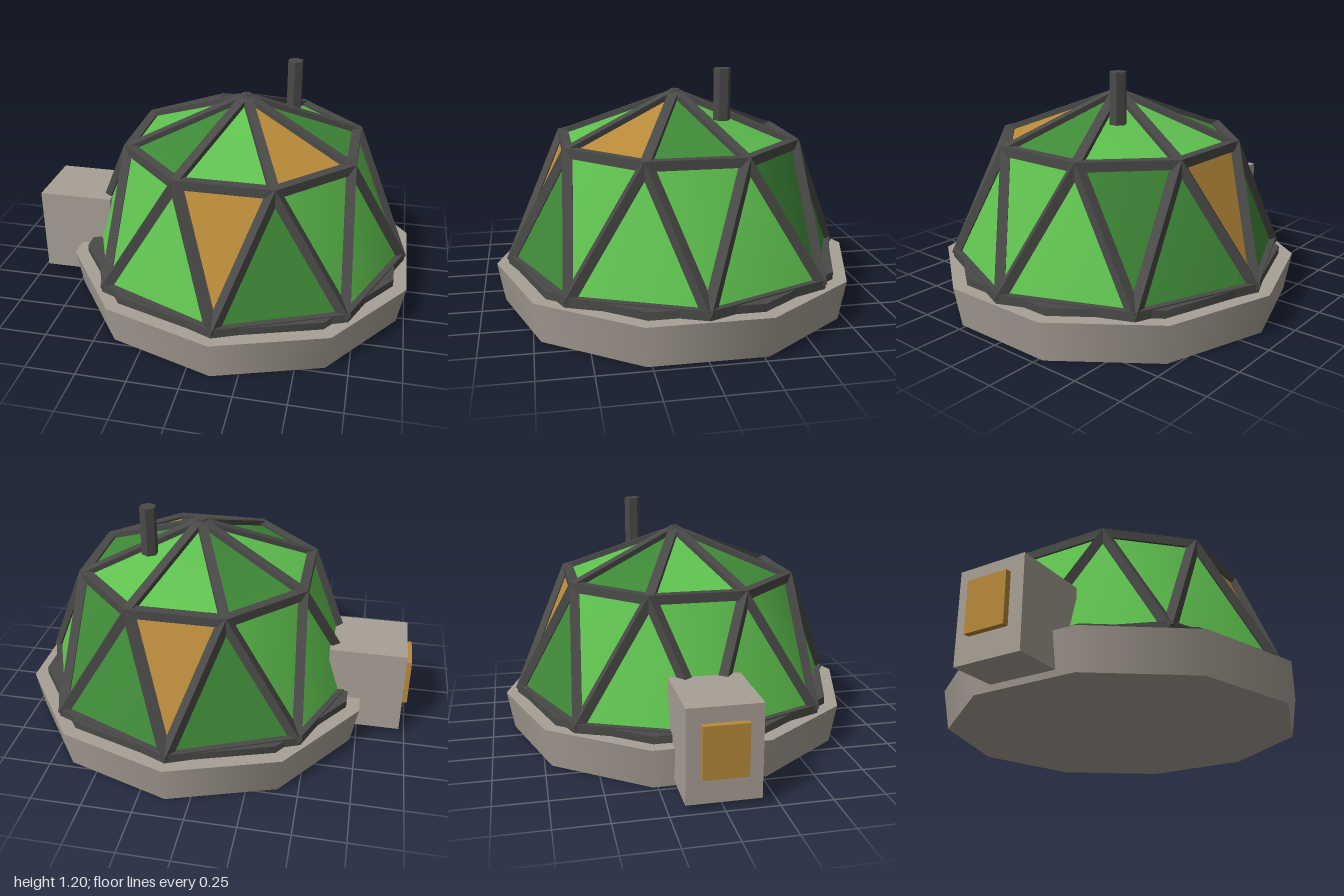
import * as THREE from 'three';
import { toCreasedNormals } from 'three/addons/utils/BufferGeometryUtils.js';

const mat = (name, color) => {
  const m = new THREE.MeshStandardMaterial({ color });
  m.name = name;
  return m;
};

export function createModel() {
  const stone = mat('stone', 0xa8a096);
  const steel = mat('dark steel', 0x4a4a48);
  const amber = mat('amber', 0xb8893a);
  const lightGreen = mat('light green', 0x5fc24f);
  const darkGreen = mat('dark green', 0x3f8a38);

  const model = new THREE.Group();
  model.name = 'domeHouse';
  const dome = new THREE.Group();
  dome.name = 'dome';
  dome.position.x = 0.12;
  model.add(dome);

  const add = (parent, name, geo, material, x = 0, y = 0, z = 0) => {
    const mesh = new THREE.Mesh(geo, material);
    mesh.name = name;
    mesh.position.set(x, y, z);
    parent.add(mesh);
    return mesh;
  };

  // Ten-sided foundation and sill
  add(dome, 'foundation', new THREE.CylinderGeometry(0.92, 0.885, 0.2, 10), stone, 0, 0.1, 0);
  add(dome, 'sill', new THREE.CylinderGeometry(0.85, 0.85, 0.038, 10), steel, 0, 0.219, 0);

  // Frame nodes: feet, upper ring (turned half a step) and apex
  const N = 8;
  const node = (k, r, y) => {
    const a = (k / N) * Math.PI * 2;
    return new THREE.Vector3(Math.cos(a) * r, y, Math.sin(a) * r);
  };
  const foot = k => node(k, 0.835, 0.222);
  const ring = k => node(k + 0.5, 0.6, 0.82);
  const apex = new THREE.Vector3(0, 1.05, 0);

  // Triangular panels, one letter per panel around the dome
  const capColours = 'DOLDLDLL', downColours = 'LLOLLLOD', upColours = 'LDLLLDDL';
  const panels = { L: [], D: [], O: [] };
  for (let k = 0; k < N; k++) {
    panels[capColours[k]].push(apex, ring(k), ring(k - 1));
    panels[downColours[k]].push(ring(k - 1), ring(k), foot(k));
    panels[upColours[k]].push(foot(k), ring(k), foot(k + 1));
  }
  const addPanels = (name, points, material) => {
    const geo = new THREE.BufferGeometry().setFromPoints(points);
    geo.computeVertexNormals();
    add(dome, name, toCreasedNormals(geo, 0.6), material);
  };
  addPanels('lightPanels', panels.L, lightGreen);
  addPanels('darkPanels', panels.D, darkGreen);
  addPanels('amberPanels', panels.O, amber);

  // Square struts between the nodes
  const strut = (name, a, b) => {
    const geo = new THREE.BoxGeometry(0.048, 0.046, a.distanceTo(b) + 0.02);
    const mesh = add(dome, name, geo, steel);
    mesh.position.copy(a).add(b).multiplyScalar(0.5);
    mesh.lookAt(b.clone().sub(a).add(mesh.position));
  };
  // The dome is shifted after its struts are aimed
  dome.position.x = 0;
  for (let k = 0; k < N; k++) {
    strut('roofStrut', ring(k), apex);
    strut('ringStrut', ring(k), ring(k + 1));
    strut('wallStrut', foot(k), ring(k));
    strut('wallStrut', foot(k + 1), ring(k));
    strut('footStrut', foot(k), foot(k + 1));
  }
  dome.position.x = 0.12;

  // Six-sided chimney
  const pipe = toCreasedNormals(new THREE.CylinderGeometry(0.042, 0.042, 0.25, 6), 0.5);
  add(model, 'chimney', pipe, steel, 0.34, 1.075, -0.19);

  // Entrance porch with its door
  add(model, 'porch', new THREE.BoxGeometry(0.39, 0.45, 0.35), stone, -0.775, 0.255, 0);
  add(model, 'door', new THREE.BoxGeometry(0.04, 0.25, 0.21), amber, -0.98, 0.28, 0);

  return model;
}
